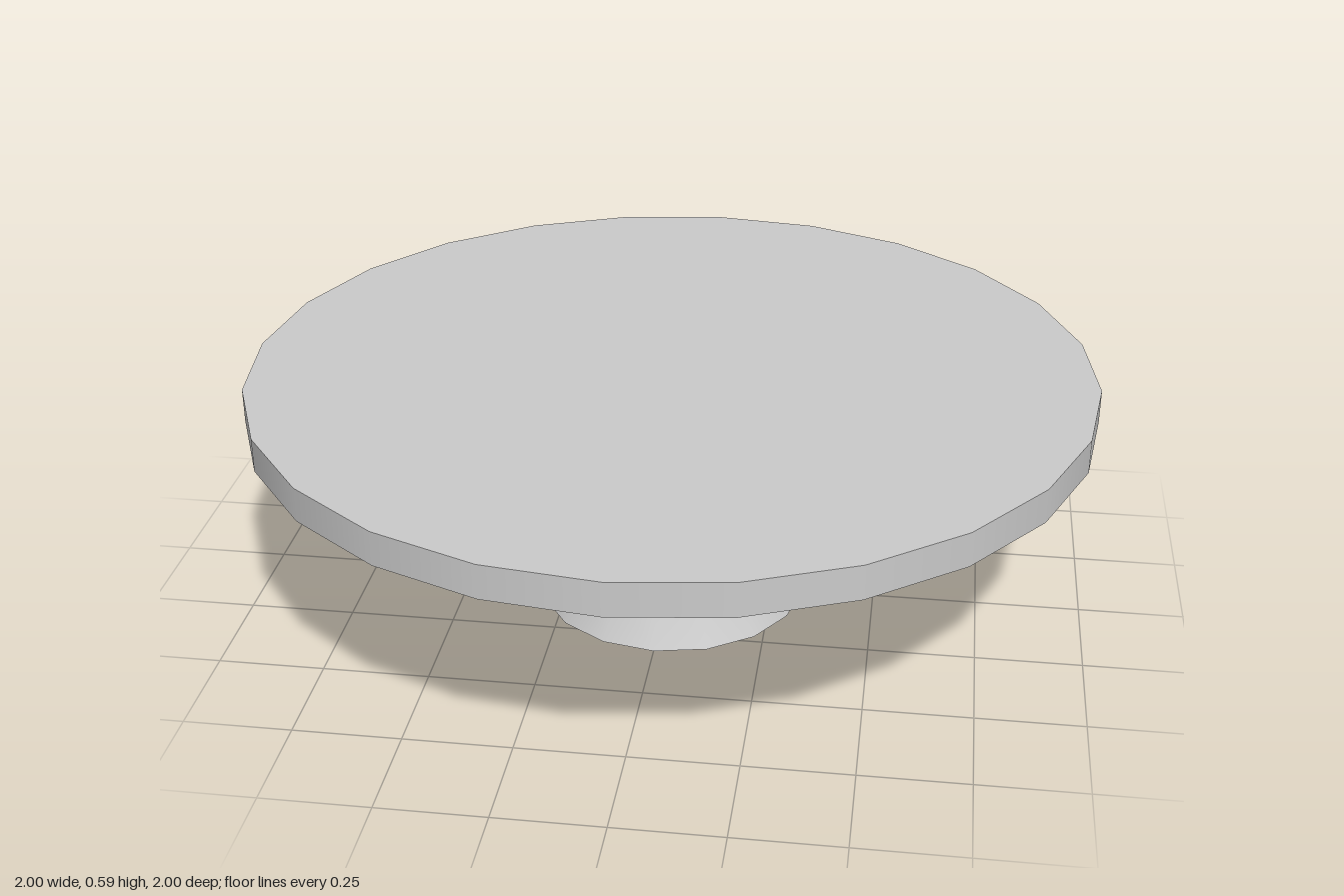
import * as THREE from 'three';

export function createModel() {
  const group = new THREE.Group();
  const material = new THREE.MeshStandardMaterial({ color: 0xcccccc });
  const add = (name, geometry, y) => {
    const mesh = new THREE.Mesh(geometry, material);
    mesh.name = name;
    mesh.position.y = y;
    group.add(mesh);
    return mesh;
  };

  // Round plate with a plain rim
  const bottom = 0.51, top = 0.59;
  add('plate', new THREE.CylinderGeometry(1, 1, top - bottom, 24), (bottom + top) / 2);

  // Flared pedestal, radius and height from the foot up
  const profile = [[0.323, 0], [0.265, 0.11], [0.208, 0.255], [0.181, 0.395], [0.175, bottom]]
    .map(([r, y]) => new THREE.Vector2(r, y));
  add('pedestal', new THREE.LatheGeometry(profile, 16), 0);

  // Flat underside of the foot
  add('footBase', new THREE.CircleGeometry(profile[0].x, 16), 0).rotation.x = Math.PI / 2;

  return group;
}
